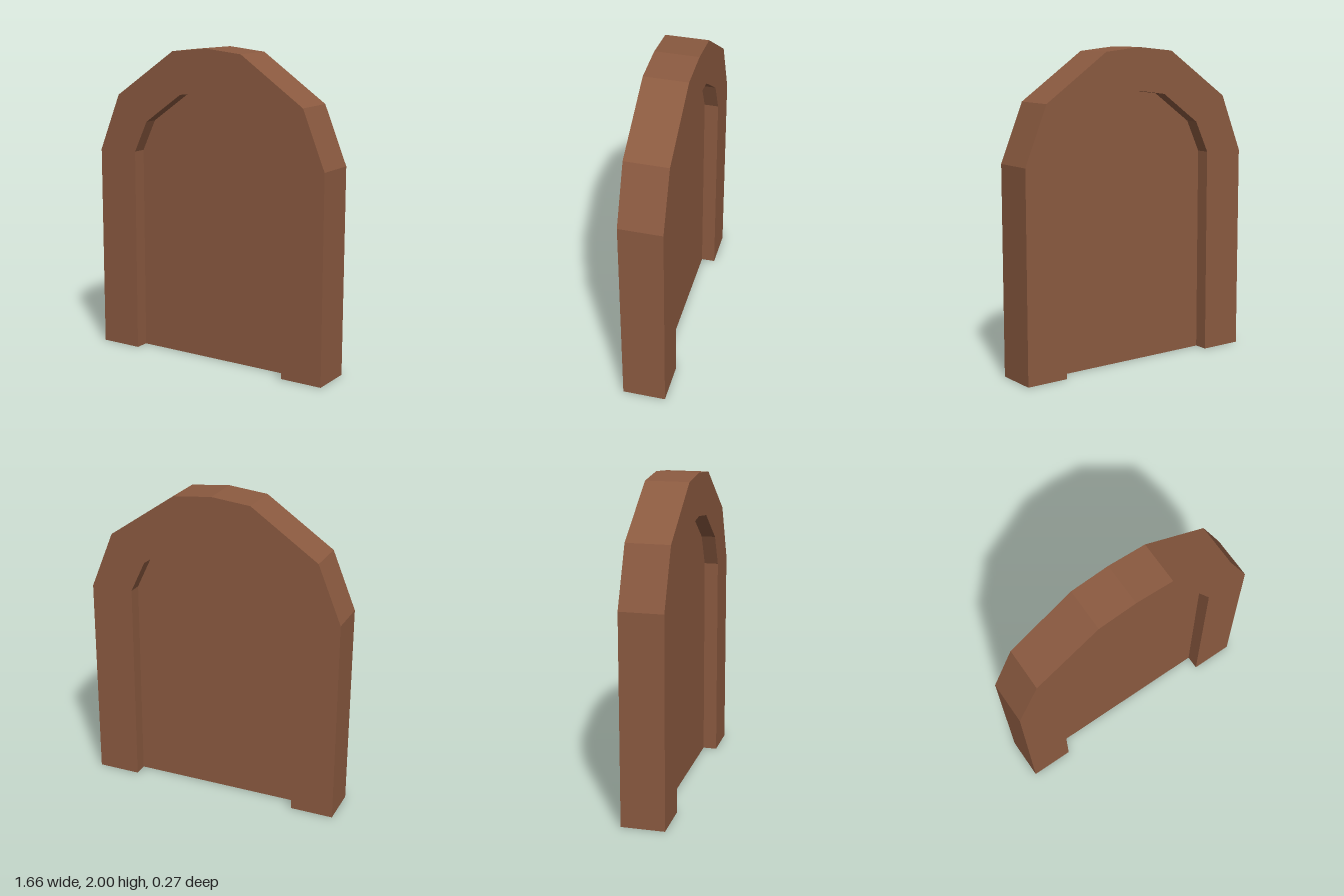
import * as THREE from 'three';

// Right half of each arch, from the foot up to the crown
const OUTER = [[0.83, 0], [0.83, 1.315], [0.68, 1.68], [0.25, 1.975], [0, 2]];
const INNER = [[0.553, 0], [0.553, 1.32], [0.458, 1.52], [0.195, 1.707], [0, 1.733]];

// Mirror a half arch into a full outline, right foot to left foot
function archPoints(half) {
  const left = half.slice(0, -1).reverse().map(([x, y]) => [-x, y]);
  return [...half, ...left].map(([x, y]) => new THREE.Vector2(x, y));
}

// Extrude an outline, centred on z = 0
function slab(points, depth, material, name) {
  const geometry = new THREE.ExtrudeGeometry(new THREE.Shape(points), { depth, bevelEnabled: false });
  geometry.translate(0, 0, -depth / 2);
  const mesh = new THREE.Mesh(geometry, material);
  mesh.name = name;
  return mesh;
}

export function createModel() {
  const group = new THREE.Group();
  group.name = 'archedDoor';
  const wood = new THREE.MeshStandardMaterial({ color: 0x8b5a40 });
  wood.name = 'brownWood';

  // Thick surround, open at the foot
  const surround = [...archPoints(OUTER), ...archPoints(INNER).reverse()];
  group.add(slab(surround, 0.272, wood, 'frame'));

  // Thinner panel recessed on both faces
  group.add(slab(archPoints(INNER), 0.092, wood, 'doorPanel'));
  return group;
}
